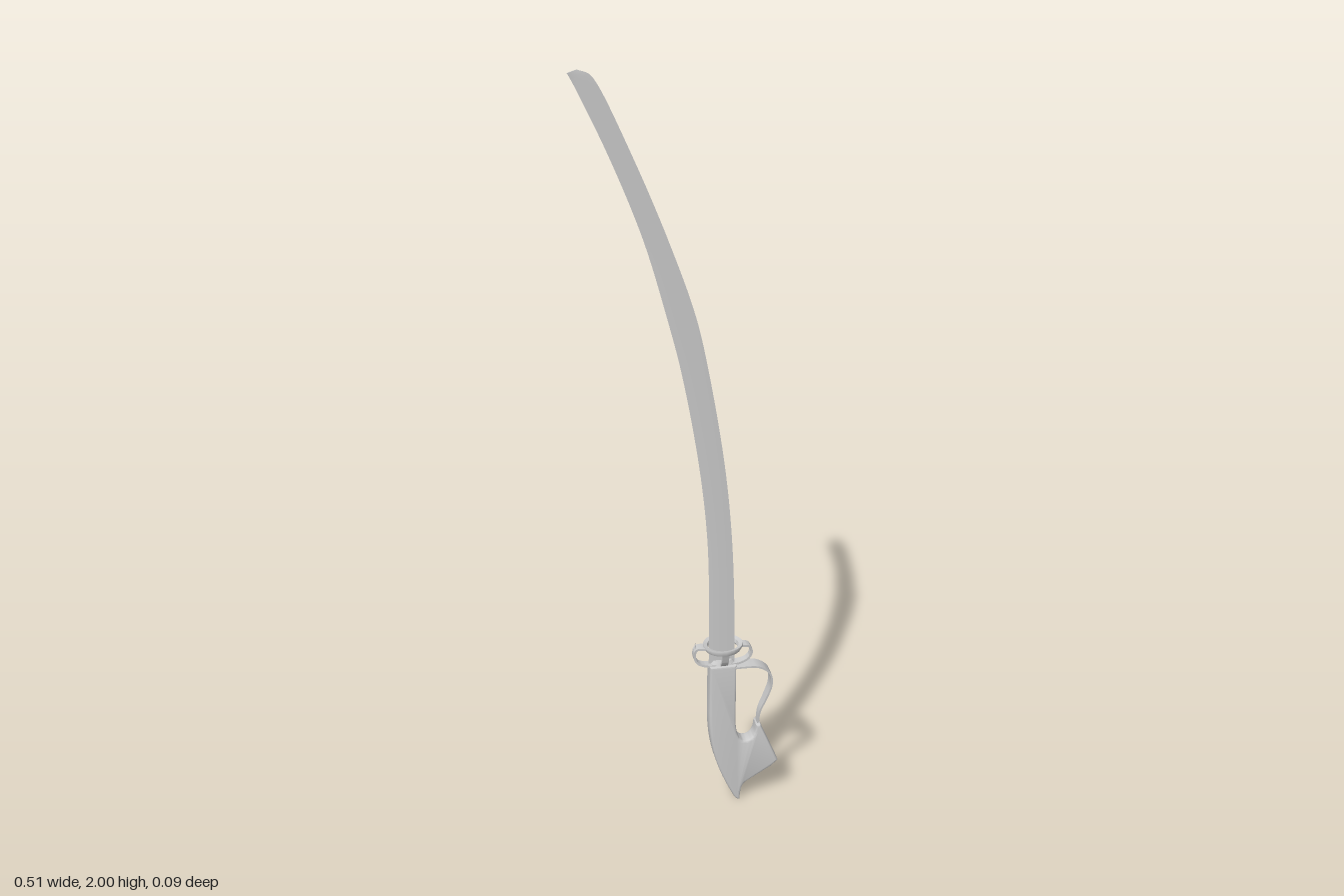
import * as THREE from 'three';
import { toCreasedNormals } from 'three/addons/utils/BufferGeometryUtils.js';

const material = new THREE.MeshStandardMaterial({ color: 0xcccccc, side: THREE.DoubleSide });
const CENTRE = 0.107; // x of the guard axis

const curve = pts => new THREE.CatmullRomCurve3(pts.map(([x, y]) => new THREE.Vector3(x, y, 0)), false, 'centripetal');

// Skin closed cross-sections of equal length and cap both ends.
function loft(sections) {
  const n = sections[0].length, pos = [], index = [];
  sections.forEach(s => s.forEach(p => pos.push(p.x, p.y, p.z)));
  for (let i = 0; i < sections.length - 1; i++) {
    for (let j = 0; j < n; j++) {
      const a = i * n + j, b = i * n + (j + 1) % n;
      index.push(a, b, b + n, a, b + n, a + n);
    }
  }
  const last = (sections.length - 1) * n;
  for (let j = 1; j < n - 1; j++) index.push(0, j + 1, j, last, last + j, last + j + 1);
  const g = new THREE.BufferGeometry();
  g.setAttribute('position', new THREE.Float32BufferAttribute(pos, 3));
  g.setIndex(index);
  return toCreasedNormals(g, 0.6);
}

// Flat metal strip following a path in the xy plane; half width may vary along it.
function strip(pts, halfWidth, halfThick, steps = 28) {
  const path = curve(pts), sections = [];
  for (let i = 0; i <= steps; i++) {
    const t = i / steps, p = path.getPoint(t), d = path.getTangent(t), w = halfWidth(t);
    sections.push([[1, -1], [1, 1], [-1, 1], [-1, -1]].map(([a, b]) =>
      new THREE.Vector3(p.x - d.y * a * halfThick, p.y + d.x * a * halfThick, b * w)));
  }
  return loft(sections);
}

function bladeGeometry() {
  const back = curve([[0.07, 0.42], [0.07, 0.6], [0.064, 0.8], [0.043, 1.0], [0, 1.25],
    [-0.036, 1.4], [-0.092, 1.6], [-0.168, 1.8], [-0.24, 1.96], [-0.25, 1.98], [-0.257, 1.993]]);
  const edge = curve([[0.138, 0.42], [0.136, 0.6], [0.127, 0.8], [0.107, 1.0], [0.066, 1.25],
    [0.033, 1.4], [-0.035, 1.6], [-0.115, 1.8], [-0.19, 1.965], [-0.208, 1.989], [-0.235, 2.0]]);
  const sections = [];
  for (let i = 0; i <= 80; i++) {
    const a = back.getPoint(i / 80), b = edge.getPoint(i / 80);
    const m = a.clone().lerp(b, 0.4);
    sections.push([m.clone().setZ(0.002), b, m.clone().setZ(-0.002), a]);
  }
  return loft(sections);
}

function gripGeometry() {
  const s = new THREE.Shape();
  s.moveTo(0.07, 0.43);
  s.lineTo(0.069, 0.29);
  s.bezierCurveTo(0.069, 0.18, 0.09, 0.11, 0.138, 0.015);
  s.quadraticCurveTo(0.147, 0, 0.155, 0.004);   // beak
  s.quadraticCurveTo(0.154, 0.045, 0.17, 0.058);
  s.lineTo(0.24, 0.1);
  s.lineTo(0.257, 0.117);
  s.lineTo(0.208, 0.236);                        // raised pommel
  s.lineTo(0.196, 0.236);
  s.bezierCurveTo(0.196, 0.2, 0.182, 0.19, 0.168, 0.19);
  s.bezierCurveTo(0.148, 0.19, 0.141, 0.22, 0.14, 0.26);
  s.lineTo(0.14, 0.43);
  s.closePath();
  const g = new THREE.ExtrudeGeometry(s, {
    depth: 0.03, bevelSize: 0.006, bevelThickness: 0.006, bevelOffset: -0.006, bevelSegments: 3, curveSegments: 12,
  });
  g.translate(0, 0, -0.015);
  return toCreasedNormals(g, 0.6);
}

// Oval ring: a shallow flared band turned on the lathe, then stretched.
function ringGeometry() {
  const profile = [[0.036, 0.488], [0.045, 0.491], [0.046, 0.486], [0.041, 0.475], [0.036, 0.473], [0.033, 0.479], [0.036, 0.488]]
    .map(([r, y]) => new THREE.Vector2(r, y)).reverse();
  const g = new THREE.LatheGeometry(profile, 48);
  g.scale(1.14, 1, 1);
  g.translate(CENTRE, 0, 0);
  return toCreasedNormals(g, 0.7);
}

export function createModel() {
  const model = new THREE.Group();
  const add = (name, geometry, parent = model) => {
    const mesh = new THREE.Mesh(geometry, material);
    mesh.name = name;
    parent.add(mesh);
    return mesh;
  };

  add('blade', bladeGeometry());
  add('grip', gripGeometry());

  // Knuckle bow, narrowing towards the pommel
  add('knuckleBow', strip([[0.1, 0.422], [0.15, 0.421], [0.2, 0.416], [0.23, 0.393], [0.236, 0.355],
    [0.222, 0.31], [0.207, 0.272], [0.202, 0.225]], t => 0.02 - 0.012 * t * t, 0.0025, 40));

  // Guard: oval ring carried by two side loops and two cross struts
  const guard = new THREE.Group();
  guard.name = 'guard';
  model.add(guard);
  add('guardRing', ringGeometry(), guard);

  const loopWidth = t => 0.014 - 0.005 * Math.sin(Math.PI * t);
  add('rightLoop', strip([[CENTRE, 0.43], [0.062, 0.431], [0.039, 0.442], [0.031, 0.463],
    [0.037, 0.483], [0.062, 0.484]], loopWidth, 0.003), guard);
  add('leftLoop', strip([[CENTRE, 0.43], [0.15, 0.431], [0.173, 0.441], [0.182, 0.459],
    [0.175, 0.478], [0.153, 0.484]], loopWidth, 0.003), guard);

  // Small upturned tip on the right loop
  const tip = add('loopTip', new THREE.ConeGeometry(0.005, 0.026, 12), guard);
  tip.position.set(0.034, 0.487, 0);

  for (const side of [-1, 1]) {
    const strut = add('crossStrut', strip([[0, 0.43], [0.016, 0.434], [0.028, 0.45], [0.034, 0.468],
      [0.039, 0.482]], () => 0.009, 0.003), guard);
    strut.position.x = CENTRE;
    strut.rotation.y = side * Math.PI / 2;
  }

  // Collar seating the guard on the grip
  const collar = add('collar', new THREE.CylinderGeometry(0.012, 0.018, 0.014, 24), guard);
  collar.scale.x = 2;
  collar.position.set(CENTRE, 0.434, 0);
  return model;
}
